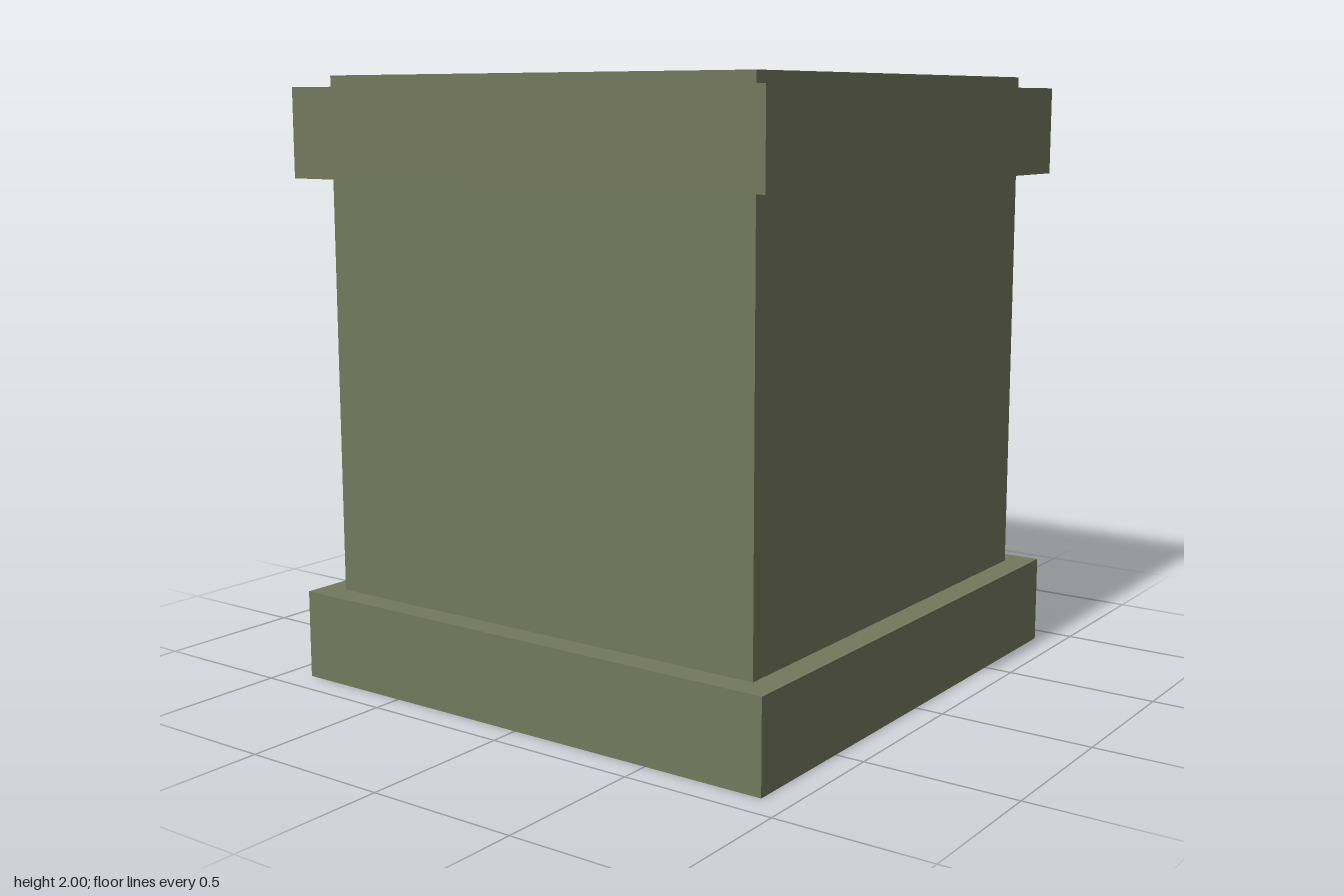
import * as THREE from 'three';

export function createModel() {
  const group = new THREE.Group();
  group.name = 'pedestal';

  const stone = new THREE.MeshStandardMaterial({ color: 0x73785c });
  stone.name = 'olive stone';

  // Square block spanning bottom to top
  const addBlock = (name, width, bottom, top) => {
    const mesh = new THREE.Mesh(new THREE.BoxGeometry(width, top - bottom, width), stone);
    mesh.name = name;
    mesh.position.y = (bottom + top) / 2;
    group.add(mesh);
  };

  // Wide bands around the foot and head of the shaft
  addBlock('basePlinth', 1.81, 0, 0.295);
  addBlock('capBand', 1.81, 1.672, 1.963);

  // Shaft between the bands, and its end standing proud of the cap
  addBlock('shaft', 1.638, 0.295, 1.672);
  addBlock('topSlab', 1.638, 1.963, 2);

  return group;
}
